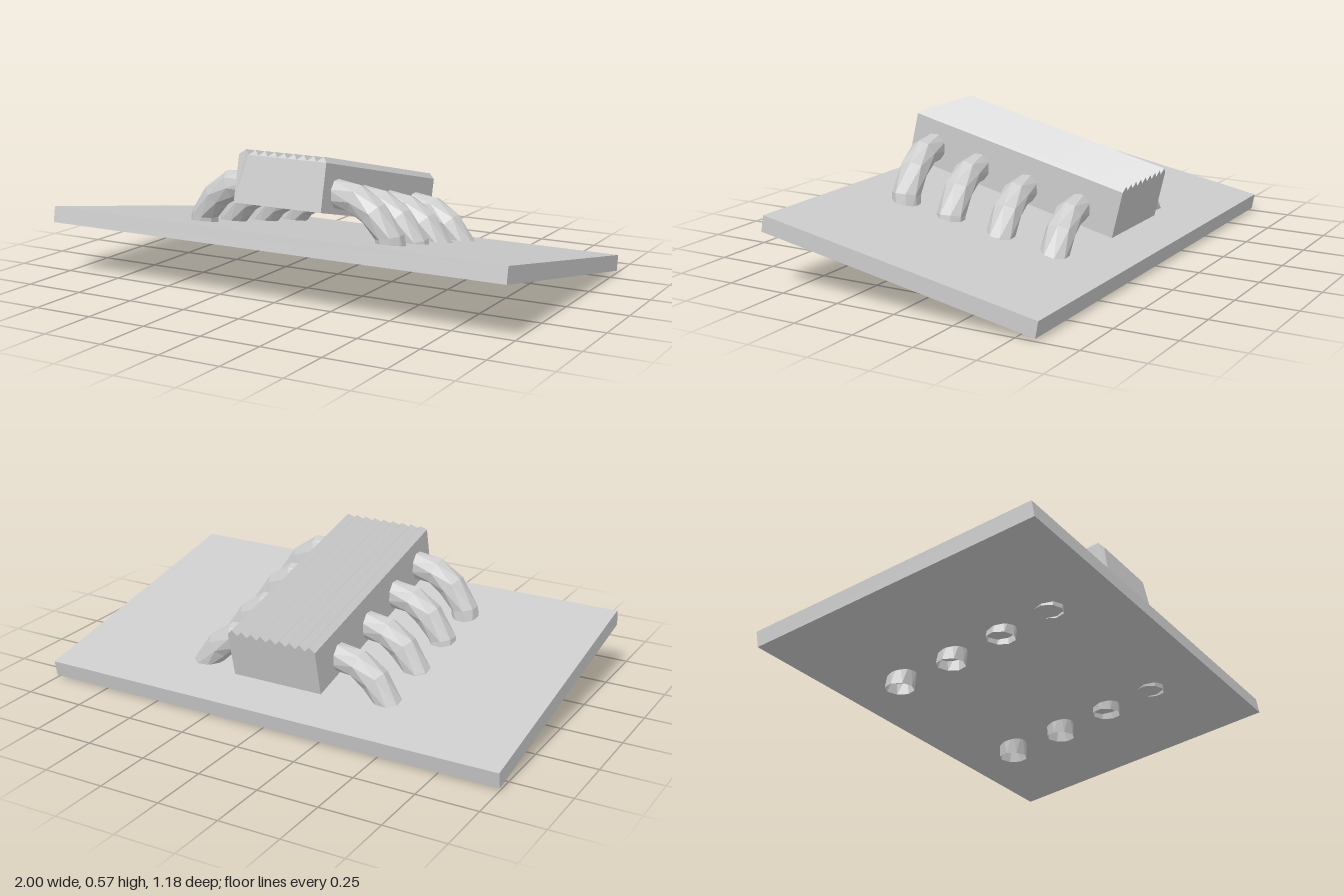
import * as THREE from 'three';

const material = new THREE.MeshStandardMaterial({
  color: 0xcccccc, flatShading: true, side: THREE.DoubleSide,
});

function addMesh(parent, name, geometry) {
  const mesh = new THREE.Mesh(geometry, material);
  mesh.name = name;
  parent.add(mesh);
  return mesh;
}

// Hollow box with a row of sharp ridges along its top, open underneath
function ridgedBodyGeometry() {
  const half = 0.195, height = 0.19, ridge = 0.022, length = 0.958, teeth = 9;
  const shape = new THREE.Shape();
  shape.moveTo(-half, 0);
  shape.lineTo(half, 0);
  shape.lineTo(half, height);
  const step = (2 * half) / teeth;
  for (let i = 0; i < teeth; i++) {
    shape.lineTo(half - (i + 0.5) * step, height + ridge);
    shape.lineTo(half - (i + 1) * step, height);
  }
  const full = new THREE.ExtrudeGeometry(shape, { depth: length, bevelEnabled: false });
  full.translate(0, 0, -length / 2);
  const p = full.attributes.position;
  const kept = [];
  for (let i = 0; i < p.count; i += 3) {
    // Leave out the floor
    if ([0, 1, 2].every((k) => Math.abs(p.getY(i + k)) < 1e-6)) continue;
    for (let k = 0; k < 3; k++) {
      const y = p.getY(i + k), z = p.getZ(i + k);
      // Ridge tips lean back at the front end
      const lean = y > height + 0.01 && z > 0 ? 0.015 : 0;
      kept.push(p.getX(i + k), y, z - lean);
    }
  }
  const geometry = new THREE.BufferGeometry();
  geometry.setAttribute('position', new THREE.Float32BufferAttribute(kept, 3));
  geometry.computeVertexNormals();
  return geometry;
}

// Bent, faceted, open-ended leg lofted from twisted rings
function legGeometry() {
  // x, y, tilt of the ring, radius across the bend, radius along z
  const rings = [
    [0.44, 0.0, 0.0, 0.06, 0.058],
    [0.425, 0.105, 0.2, 0.056, 0.058],
    [0.36, 0.19, 0.75, 0.058, 0.06],
    [0.285, 0.24, 1.2, 0.06, 0.056],
    [0.185, 0.252, 1.45, 0.058, 0.048],
  ];
  const sides = 8, positions = [], index = [];
  rings.forEach(([x, y, tilt, r, rz], j) => {
    for (let i = 0; i < sides; i++) {
      const a = (i / sides) * Math.PI * 2 + j * 0.3;
      const out = Math.cos(a) * r;
      positions.push(x + out * Math.cos(tilt), y + out * Math.sin(tilt),
        Math.sin(a) * rz + y * 0.06);
      if (j === 0) continue;
      const n = (i + 1) % sides;
      const a0 = (j - 1) * sides + i, b0 = (j - 1) * sides + n;
      const a1 = j * sides + i, b1 = j * sides + n;
      index.push(a0, a1, b0, b0, a1, b1);
    }
  });
  const geometry = new THREE.BufferGeometry();
  geometry.setAttribute('position', new THREE.Float32BufferAttribute(positions, 3));
  geometry.setIndex(index);
  geometry.computeVertexNormals();
  return geometry;
}

export function createModel() {
  const model = new THREE.Group();
  model.name = 'ridgedBlockOnPlate';

  // Sloping base plate, higher at the front
  const plate = addMesh(model, 'basePlate', new THREE.BoxGeometry(2, 0.066, 1.19));
  plate.position.y = 0.15;
  plate.rotation.x = -0.182;

  // Ridged body, tilted a little more than the plate
  const body = addMesh(model, 'ridgedBody', ridgedBodyGeometry());
  body.position.set(-0.005, 0.2575, 0.0025);
  body.rotation.x = -0.232;

  // Four pairs of legs passing through the plate
  const leg = legGeometry();
  const places = [[0.17, 0.33], [0.11, 0.122], [0.05, -0.1], [0, -0.335]];
  places.forEach(([y, z], i) => {
    for (const side of [1, -1]) {
      const mesh = addMesh(model, (side > 0 ? 'leftLeg' : 'rightLeg') + (i + 1), leg);
      mesh.position.set(side > 0 ? -0.012 : 0, y, z);
      mesh.scale.x = side;
    }
  });
  return model;
}
